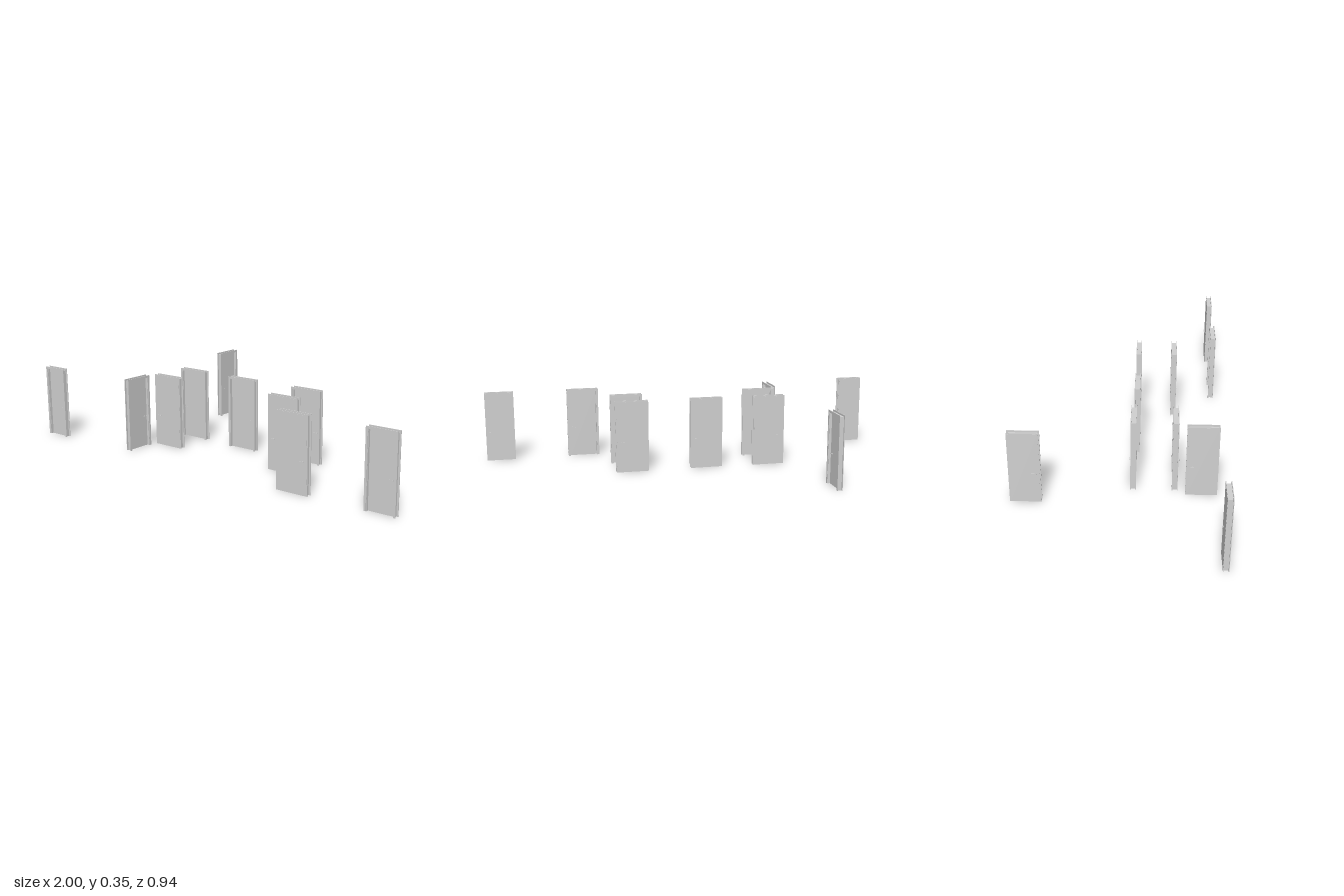
import * as THREE from 'three';

const H = 0.346;   // overall height
const D = 0.026;   // overall depth

const lightGrey = new THREE.MeshStandardMaterial({ color: 0xd1d1d1 });
lightGrey.name = 'lightGrey';

// Upside-down U frame: inset and band width measured from the outer edge
function archGeometry(width, inset, band, z0, z1) {
  const a = width / 2 - inset, b = a - band;
  const top = H - inset, under = top - band;
  const shape = new THREE.Shape([
    [-a, 0], [-a, top], [a, top], [a, 0], [b, 0], [b, under], [-b, under], [-b, 0],
  ].map(([x, y]) => new THREE.Vector2(x, y)));
  return new THREE.ExtrudeGeometry(shape, { depth: z1 - z0, bevelEnabled: false }).translate(0, 0, z0);
}

function add(parent, name, geometry, x = 0, y = 0, z = 0) {
  const mesh = new THREE.Mesh(geometry, lightGrey);
  mesh.name = name;
  mesh.position.set(x, y, z);
  parent.add(mesh);
}

// Lever handle pointing away from the lock edge; dir is the side it projects to
function createHandle(lock, dir) {
  const handle = new THREE.Group();
  handle.name = 'handle';
  const rod = (r, l) => new THREE.CylinderGeometry(r, r, l, 16).rotateX(Math.PI / 2);
  add(handle, 'rosette', rod(0.004, 0.001), 0, 0, dir * 0.0005);
  add(handle, 'spindle', rod(0.0014, 0.005), 0, 0, dir * 0.0025);
  add(handle, 'lever', new THREE.BoxGeometry(0.022, 0.003, 0.0015), -lock * 0.0025, 0, dir * 0.0047);
  return handle;
}

// Door with its flush face on -z and its recess on +z
function createDoor(width, lock) {
  const door = new THREE.Group();
  const back = -D / 2, front = D / 2;

  // Lining between the two casings
  add(door, 'jamb', archGeometry(width, 0.008, 0.004, back + 0.003, front - 0.003));
  add(door, 'frontCasing', archGeometry(width, 0, 0.01, front - 0.003, front));
  add(door, 'backCasing', archGeometry(width, 0, 0.011, back + 0.0005, back + 0.003));

  // Rebated leaf: a thin lip overlaps the back casing
  const lipW = width - 0.01, lipH = H - 0.005;
  add(door, 'leafLip', new THREE.BoxGeometry(lipW, lipH, 0.001), 0, lipH / 2, back + 0.0005);
  const leafW = width - 0.0236, leafH = H - 0.0118;
  add(door, 'leaf', new THREE.BoxGeometry(leafW, leafH, 0.011), 0, leafH / 2, back + 0.0063);

  for (const [dir, z] of [[-1, back], [1, back + 0.0118]]) {
    const handle = createHandle(lock, dir);
    handle.position.set(lock * (width / 2 - 0.026), 0.146, z);
    door.add(handle);
  }
  return door;
}

export function createModel() {
  const model = new THREE.Group();
  model.name = 'doors';
  // x, z, width, turn about y, lock side
  const doors = [
    [-0.937, 0.448, 0.126, 0, 1],
    [-0.533, -0.401, 0.14, Math.PI / 2, -1],
    [-0.36, 0.067, 0.158, 0, -1],
    [-0.047, 0.078, 0.158, 0, 1],
    [0.319, 0.078, 0.158, 0, 1],
    [-0.36, 0.253, 0.158, Math.PI, 1],
    [0.319, 0.253, 0.158, Math.PI, 1],
    [-0.457, 0.37, 0.141, Math.PI / 2, 1],
    [0.512, 0.454, 0.158, Math.PI, -1],
    [0.929, 0.454, 0.142, 0, 1],
  ];
  doors.forEach(([x, z, width, turn, lock], i) => {
    const door = createDoor(width, lock);
    door.name = `door${i + 1}`;
    door.position.set(x, 0, z);
    door.rotation.y = turn;
    model.add(door);
  });
  return model;
}
